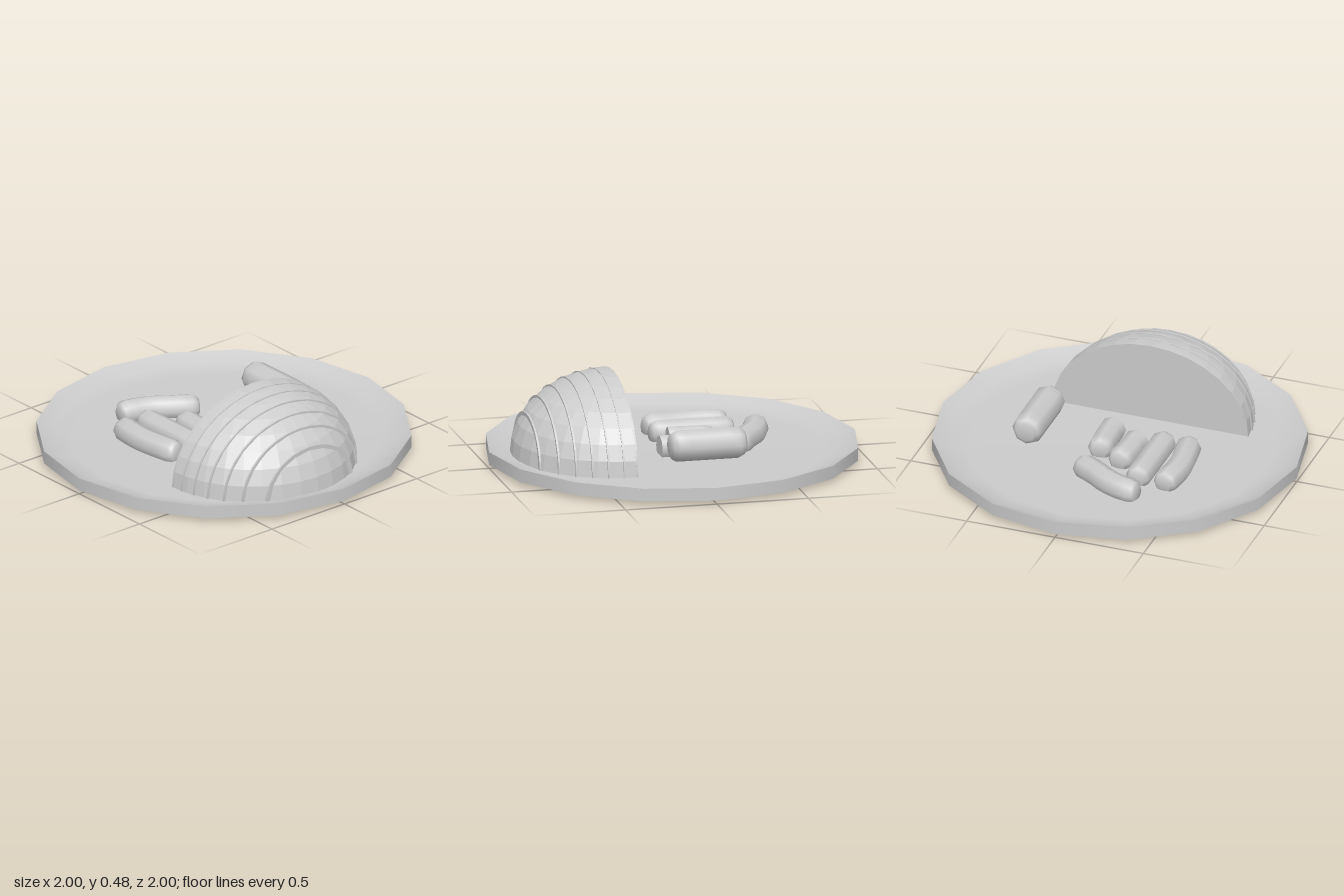
import * as THREE from 'three';

const V2 = (x, y) => new THREE.Vector2(x, y);
const FLOOR = 0.035; // height of the dished plate's inside

function addMesh(group, name, geometry, options = {}) {
  const mesh = new THREE.Mesh(geometry, new THREE.MeshStandardMaterial({ color: 0xcccccc, ...options }));
  mesh.name = name;
  group.add(mesh);
  return mesh;
}

// Eight-sided rounded roll swept along a path of [x, z] points at height y
function rollGeometry(path, y, radius, cut = false) {
  const curve = new THREE.CatmullRomCurve3(path.map(([x, z]) => new THREE.Vector3(x, y, z)));
  const bevel = 0.04 / curve.getLength();
  const rings = [[0, 0], [0, 0.6], [bevel * 0.35, 0.85], [bevel, 1]];
  for (let i = 1; i < 6; i++) rings.push([bevel + (1 - 2 * bevel) * i / 6, 1]);
  if (cut) rings.push([1, 1], [1, 1], [1, 0]); // flat cut end
  else rings.push([1 - bevel, 1], [1 - bevel * 0.35, 0.85], [1, 0.6], [1, 0]);

  const sides = 8, positions = [], index = [];
  const up = new THREE.Vector3(0, 1, 0);
  rings.forEach(([u, scale], i) => {
    const center = curve.getPointAt(u);
    const side = new THREE.Vector3().crossVectors(up, curve.getTangentAt(u)).normalize();
    for (let j = 0; j < sides; j++) {
      const a = j / sides * Math.PI * 2, r = radius * scale;
      const p = center.clone().addScaledVector(side, r * Math.cos(a)).addScaledVector(up, r * Math.sin(a));
      positions.push(p.x, p.y, p.z);
      if (i === rings.length - 1) continue;
      const k = (j + 1) % sides, b = i * sides, n = b + sides;
      index.push(b + j, b + k, n + k, b + j, n + k, n + j);
    }
  });
  const geometry = new THREE.BufferGeometry();
  geometry.setAttribute('position', new THREE.Float32BufferAttribute(positions, 3));
  geometry.setIndex(index);
  geometry.computeVertexNormals();
  return geometry;
}

// Faceted half dome with thin upright half discs marking its slices
function buildSlicedDome(radius, height) {
  const dome = new THREE.Group();
  dome.name = 'slicedDome';
  addMesh(dome, 'domeShell',
    new THREE.SphereGeometry(radius, 16, 8, 0, Math.PI, 0, Math.PI / 2), { flatShading: true });
  const thickness = 0.01;
  for (const z of [0, 0.07, 0.15, 0.23, 0.31, 0.388, 0.468]) {
    const r = Math.sqrt(radius * radius - z * z) + (z ? 0.003 : 0);
    const disc = new THREE.CylinderGeometry(r, r, thickness, 16, 1, false, Math.PI / 2, Math.PI);
    disc.rotateX(Math.PI / 2);
    addMesh(dome, z ? 'sliceLine' : 'cutFace', disc).position.z = z + thickness / 2;
  }
  dome.scale.y = height / radius;
  return dome;
}

export function createModel() {
  const model = new THREE.Group();
  model.name = 'platter';

  // Sixteen-sided dished plate: inside, outer wall and flat underside
  addMesh(model, 'plateInside', new THREE.LatheGeometry(
    [V2(1, 0.09), V2(0.92, 0.052), V2(0.82, FLOOR), V2(0, FLOOR)], 16));
  addMesh(model, 'plateWall', new THREE.LatheGeometry([V2(1, 0.02), V2(1, 0.09)], 16));
  const base = new THREE.CircleGeometry(1, 16);
  base.rotateX(Math.PI / 2);
  addMesh(model, 'plateBase', base).position.y = 0.02;

  // Sliced half dome standing on the plate
  const dome = buildSlicedDome(0.553, 0.48 - FLOOR);
  dome.position.set(-0.06, FLOOR, 0.305);
  model.add(dome);

  // Thick roll
  addMesh(model, 'thickRoll', rollGeometry([[0.428, -0.295], [0.428, 0.12]], 0.176, 0.086));

  // Small rolls sunk into the plate: path, cut end
  const smallRolls = [
    ['bentRoll', [[-0.385, -0.39], [-0.405, -0.22], [-0.395, -0.08], [-0.37, 0.065]], false],
    ['straightRoll', [[-0.235, -0.39], [-0.235, 0.065]], false],
    ['cutRollRight', [[-0.078, -0.25], [-0.09, -0.12], [-0.097, 0]], true],
    ['cutRollLeft', [[0.055, -0.175], [0.065, -0.05], [0.067, 0.085]], true],
    ['curvedRoll', [[-0.29, -0.522], [-0.2, -0.505], [-0.1, -0.463], [-0.01, -0.4], [0.105, -0.337]], false],
  ];
  for (const [name, path, cut] of smallRolls) addMesh(model, name, rollGeometry(path, 0.071, 0.07, cut));

  return model;
}
